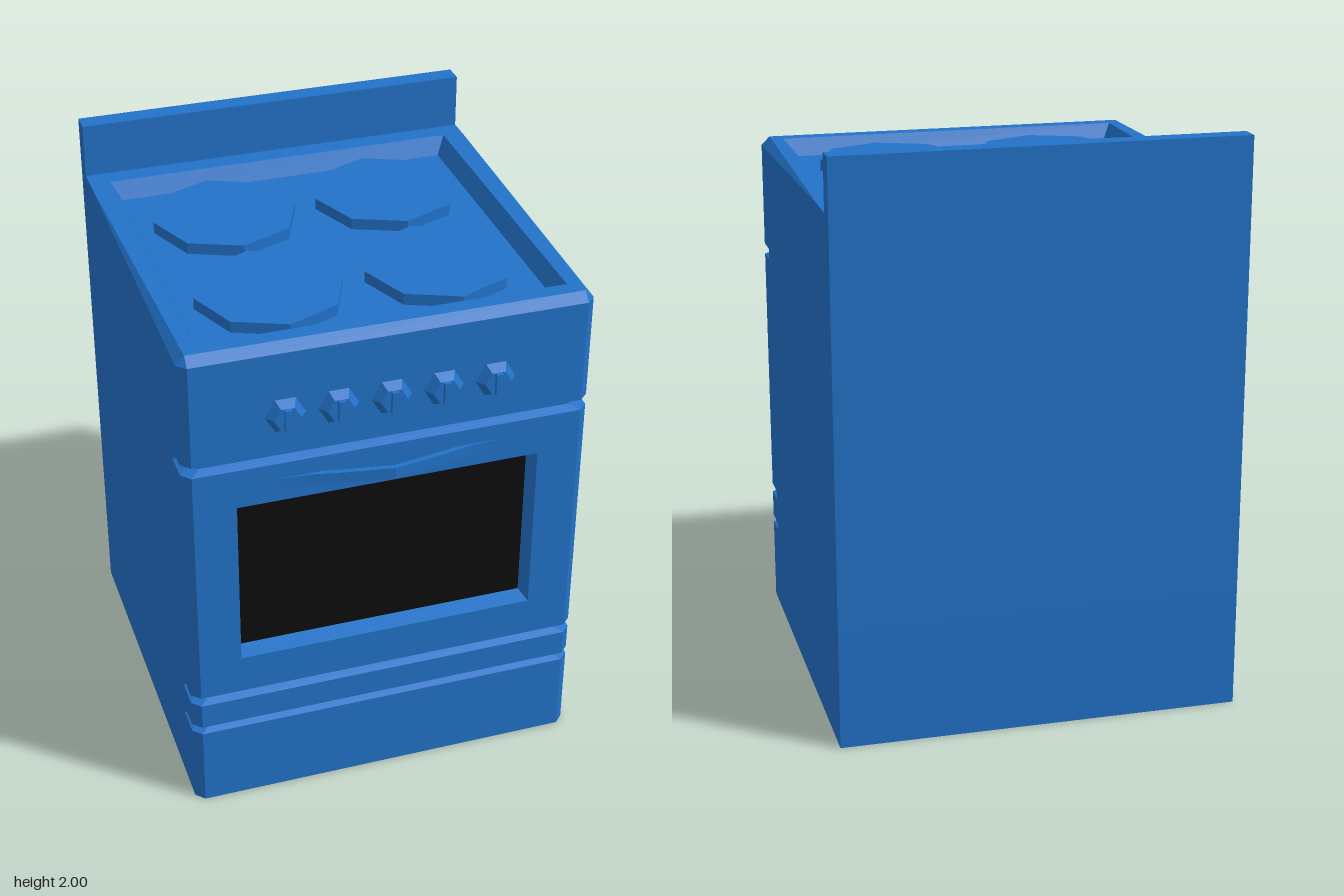
import * as THREE from 'three';

const blue = new THREE.MeshStandardMaterial({ color: 0x2272c8, flatShading: true });
const black = new THREE.MeshStandardMaterial({ color: 0x0d0d0d, flatShading: true });

const V = (x, y, z) => new THREE.Vector3(x, y, z);

function mesh(name, geometry, material = blue) {
  const m = new THREE.Mesh(geometry, material);
  m.name = name;
  return m;
}

function fromTriangles(points) {
  const g = new THREE.BufferGeometry().setFromPoints(points);
  g.computeVertexNormals();
  return g;
}

// Right half of an outline [x, z], back to front, completed by mirroring
const mirrored = (half) => [...half, ...half.map(([x, z]) => [-x, z]).reverse()];

const OUTER = mirrored([[0.695, -0.72], [0.695, -0.56], [0.695, 0.53], [0.695, 0.55], [0.695, 0.63], [0.665, 0.66]]);
const GROOVE = mirrored([[0.695, -0.72], [0.695, -0.56], [0.695, 0.53], [0.665, 0.55], [0.665, 0.6], [0.635, 0.63]]);
const TOP = mirrored([[0.695, -0.72], [0.695, -0.56], [0.667, 0.53], [0.667, 0.55], [0.665, 0.63], [0.665, 0.63]]);
const DOOR = [0.46, 1.37];
const TOP_Y = 1.81;

// Body skin: horizontal outlines stacked upwards, leaving the door front open
function bodySkin() {
  const level = (outline, y) => outline.map(([x, z]) => V(x, y, z));
  const rings = [level(OUTER, 0)];
  for (const [low, high] of [[0.3, 0.33], [0.425, DOOR[0]], [DOOR[1], 1.41]]) {
    rings.push(level(OUTER, low), level(GROOVE, low + 0.013), level(GROOVE, high - 0.013), level(OUTER, high));
  }
  // the top edge bevel fades out towards the back
  rings.push(OUTER.map(([x, z]) => V(x, TOP_Y - 0.03 * THREE.MathUtils.clamp((z + 0.56) / 1.19, 0, 1), z)));
  rings.push(level(TOP, TOP_Y));

  const tris = [];
  const n = OUTER.length, front = n / 2 - 1;
  for (let i = 0; i < rings.length - 1; i++) {
    const lo = rings[i], hi = rings[i + 1];
    for (let j = 0; j < n; j++) {
      if (j === front && lo[j].y === DOOR[0]) continue;
      const k = (j + 1) % n;
      tris.push(lo[j], hi[j], lo[k], lo[k], hi[j], hi[k]);
    }
  }
  return fromTriangles(tris);
}

// Rectangle corners, counter-clockwise
const rect = (w, y0, y1) => [[-w, y0], [w, y0], [w, y1], [-w, y1]];
const toVec2 = (pts) => pts.map(([x, y]) => new THREE.Vector2(x, y));

// Flat panel facing +z with a sloped-wall recess
function recessedPanel(name, outline, outer, inner, depth, floorMaterial) {
  const group = new THREE.Group();
  group.name = name;
  const shape = new THREE.Shape(toVec2(outline));
  shape.holes.push(new THREE.Path(toVec2(outer)));
  group.add(mesh(name + 'Face', new THREE.ShapeGeometry(shape)));

  const o = outer.map(([x, y]) => V(x, y, 0));
  const i = inner.map(([x, y]) => V(x, y, -depth));
  const walls = [];
  for (let j = 0; j < 4; j++) {
    const k = (j + 1) % 4;
    walls.push(o[j], o[k], i[k], o[j], i[k], i[j]);
  }
  group.add(mesh(name + 'RecessWalls', fromTriangles(walls)));
  group.add(mesh(name + 'RecessFloor', fromTriangles([i[0], i[1], i[2], i[0], i[2], i[3]]), floorMaterial));
  return group;
}

function makeKnob(x) {
  const knob = new THREE.Group();
  knob.name = 'knob';
  const dial = new THREE.CylinderGeometry(0.045, 0.068, 0.03, 6);
  dial.rotateY(Math.PI / 6).rotateX(Math.PI / 2).translate(0, 0, 0.015);
  const grip = new THREE.BoxGeometry(0.024, 0.078, 0.045).translate(0, 0, 0.0225);
  knob.add(mesh('knobDial', dial), mesh('knobGrip', grip));
  knob.position.set(x, 1.553, 0.66);
  return knob;
}

// Bowed door handle
function handleGeometry() {
  const half = [[0.375, 0.662], [0.28, 0.668], [0.17, 0.69]];
  const front = [...half, [0, 0.717], ...half.map(([x, z]) => [-x, z]).reverse()];
  const back = front.map(([x, z]) => [x, z - 0.018]).reverse();
  const shape = new THREE.Shape(toVec2([...front, ...back].map(([x, z]) => [x, -z])));
  return new THREE.ExtrudeGeometry(shape, { depth: 0.042, bevelEnabled: false })
    .rotateX(-Math.PI / 2).translate(0, 1.27, 0);
}

export function createModel() {
  const stove = new THREE.Group();
  stove.name = 'stove';

  stove.add(mesh('body', bodySkin()));
  stove.add(mesh('base', new THREE.ShapeGeometry(new THREE.Shape(toVec2(OUTER))).rotateX(Math.PI / 2)));

  // Oven door with dark window
  const door = recessedPanel('ovenDoor', rect(0.665, ...DOOR),
    rect(0.52, 0.602, 1.226), rect(0.505, 0.616, 1.211), 0.06, black);
  door.position.z = 0.66;
  stove.add(door, mesh('doorHandle', handleGeometry()));

  // Sunken cooktop; the repeated corner point of the bevel is dropped
  const rim = TOP.filter((p, i) => i !== 5 && i !== 6).map(([x, z]) => [x, -z]);
  const cooktop = recessedPanel('cooktop', rim,
    rect(0.623, -0.575, 0.58), rect(0.59, -0.54, 0.545), 0.06, blue);
  cooktop.rotation.x = -Math.PI / 2;
  cooktop.position.y = TOP_Y;
  stove.add(cooktop);

  // Four octagonal burners
  for (const x of [-0.29, 0.29]) {
    for (const z of [-0.275, 0.265]) {
      const burner = mesh('burner', new THREE.CylinderGeometry(0.252, 0.252, 0.04, 8));
      burner.position.set(x, TOP_Y - 0.04, z);
      stove.add(burner);
    }
  }

  // Row of control knobs
  for (let i = -2; i <= 2; i++) stove.add(makeKnob(i * 0.177));

  // Upright splash guard at the back
  const guard = mesh('splashGuard', new THREE.BoxGeometry(1.39, 0.19, 0.07));
  guard.position.set(0, 1.905, -0.685);
  stove.add(guard);

  return stove;
}
